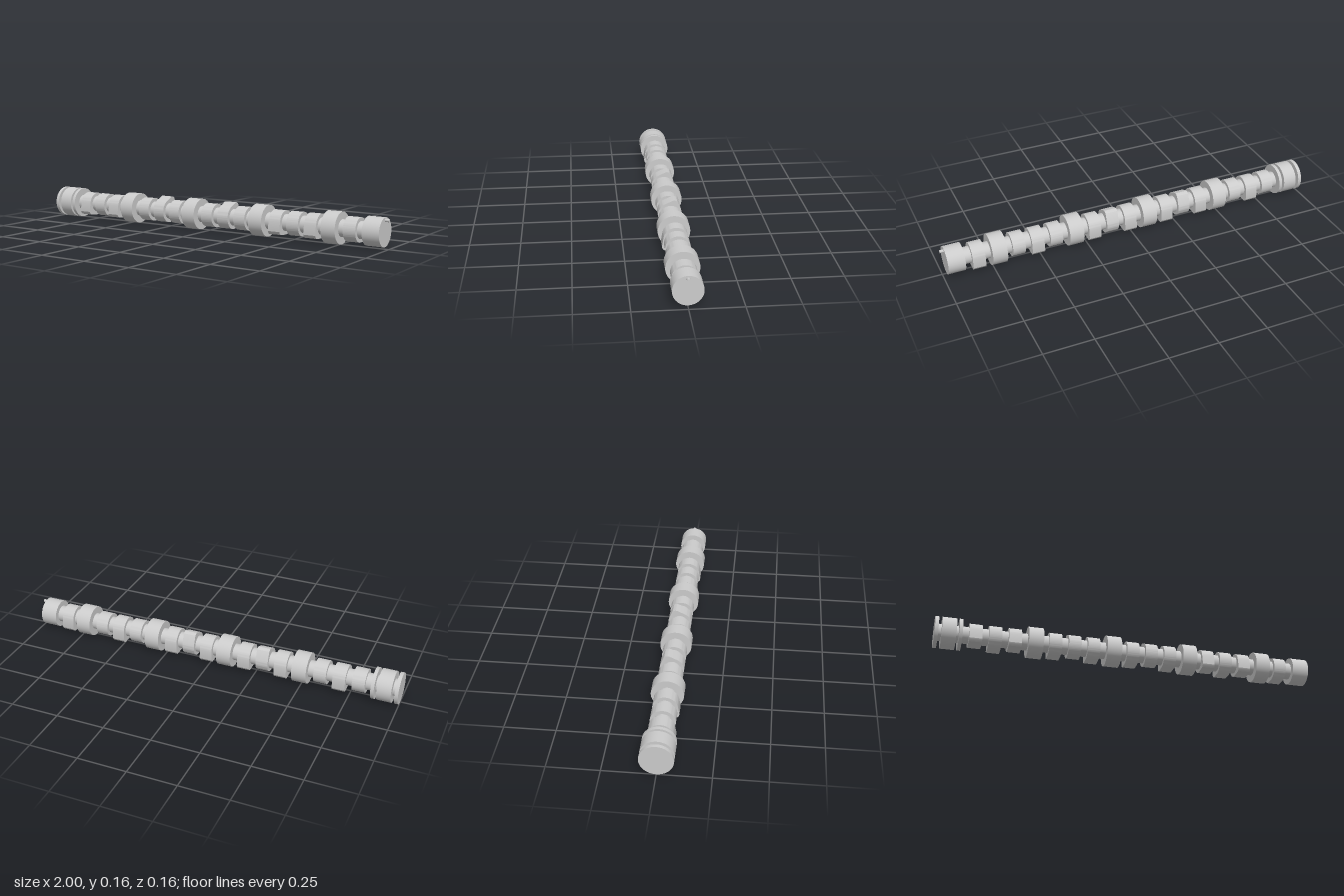
import * as THREE from 'three';
import { toCreasedNormals } from 'three/addons/utils/BufferGeometryUtils.js';

const AXIS_Y = 0.08;
const material = new THREE.MeshStandardMaterial({ color: 0xcccccc });

// Round section lying along x, from x0 to x1
function roundSection(name, x0, x1, radius, y = 0, segments = 64) {
  const geometry = new THREE.CylinderGeometry(radius, radius, x1 - x0, segments);
  geometry.rotateZ(-Math.PI / 2);
  const mesh = new THREE.Mesh(geometry, material);
  mesh.name = name;
  mesh.position.set((x0 + x1) / 2, y, 0);
  return mesh;
}

// Cam outline: base circle joined by tangent flanks to a small nose circle
function camGeometry(width) {
  const base = 0.061, nose = 0.023, offset = 0.056;
  const t = Math.asin((base - nose) / offset);
  const shape = new THREE.Shape();
  shape.absarc(0, offset, nose, t, Math.PI - t, false);
  shape.absarc(0, 0, base, Math.PI - t, Math.PI * 2 + t, false);
  shape.closePath();
  const geometry = new THREE.ExtrudeGeometry(shape, { depth: width, bevelEnabled: false, curveSegments: 40 });
  geometry.translate(0, 0, -width / 2);
  geometry.rotateY(Math.PI / 2);
  return toCreasedNormals(geometry, 0.5);
}

export function createModel() {
  const model = new THREE.Group();
  model.name = 'camshaft';
  const shaft = new THREE.Group();
  shaft.name = 'shaft';
  shaft.position.y = AXIS_Y;
  model.add(shaft);

  // Core running the whole length
  shaft.add(roundSection('core', -0.99, 0.97, 0.043));

  // Flanges and journal at the right end
  shaft.add(roundSection('endFlange', -1, -0.982, 0.08));
  shaft.add(roundSection('endJournal', -0.965, -0.893, 0.08));
  shaft.add(roundSection('innerFlange', -0.88, -0.863, 0.08));

  // Bearing journals
  [-0.495, -0.09, 0.315, 0.72].forEach((x, i) => {
    shaft.add(roundSection(`bearingJournal${i + 1}`, x - 0.038, x + 0.038, 0.08));
  });

  // Nose with locating pin at the left end
  shaft.add(roundSection('shaftNose', 0.893, 0.98, 0.071));
  shaft.add(roundSection('locatingPin', 0.96, 1, 0.008, 0.057, 24));

  // Cam lobes: position along the shaft, nose angle in degrees from up towards the front
  const front = 128, back = -133, top = -22;
  const lobes = [
    [-0.797, front], [-0.698, back], [-0.599, front],
    [-0.392, back], [-0.293, top], [-0.194, back],
    [0.013, back], [0.112, top], [0.211, back],
    [0.418, front], [0.517, back], [0.616, front],
    [0.823, back],
  ];
  const lobe = camGeometry(0.065);
  lobes.forEach(([x, angle], i) => {
    const mesh = new THREE.Mesh(lobe, material);
    mesh.name = `camLobe${i + 1}`;
    mesh.position.x = x;
    mesh.rotation.x = THREE.MathUtils.degToRad(angle);
    shaft.add(mesh);
  });
  return model;
}
